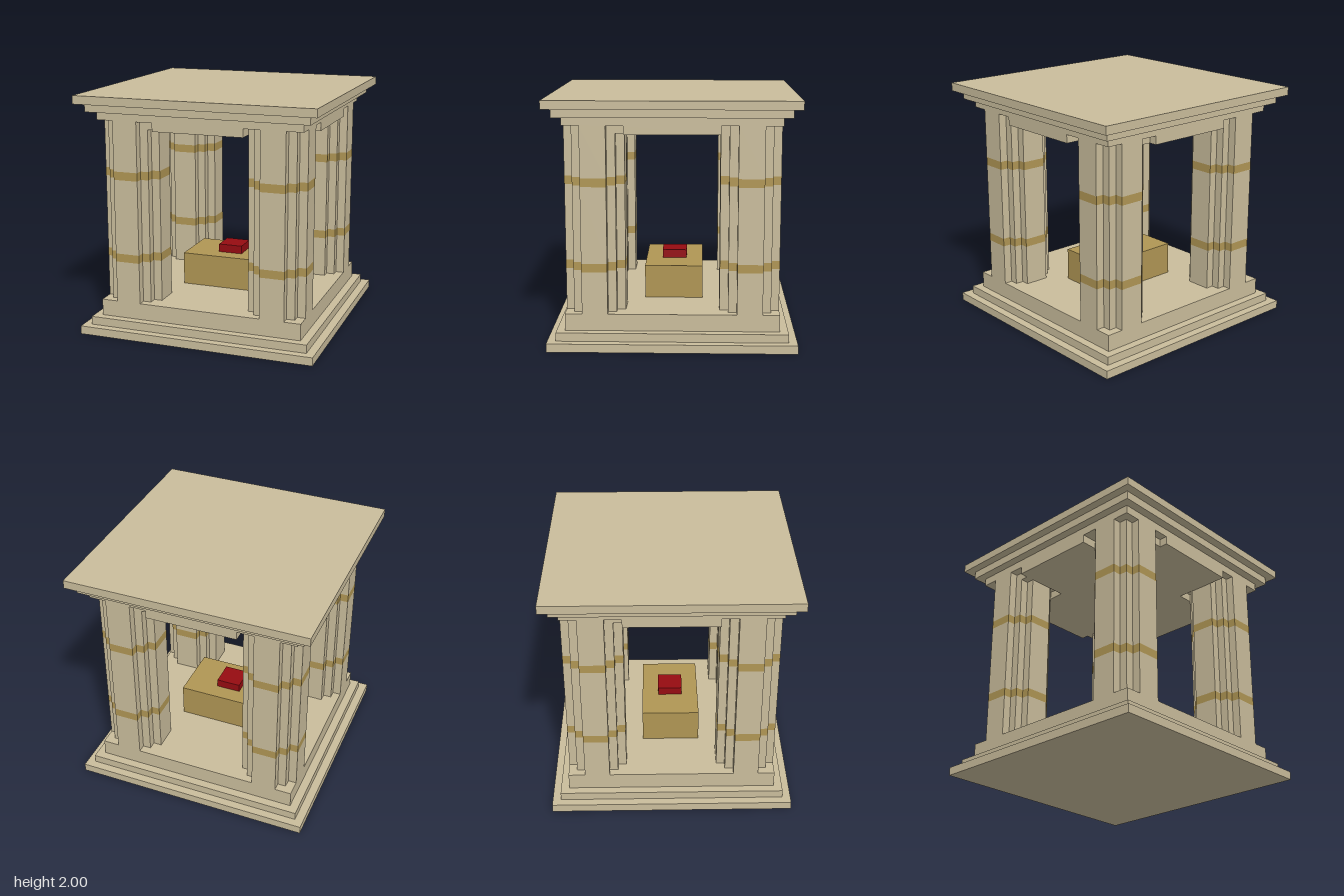
import * as THREE from 'three';

const U = 2 / 29; // one grid cell

export function createModel() {
  const group = new THREE.Group();
  const stone = new THREE.MeshStandardMaterial({ name: 'sandstone', color: 0xcabd9c });
  const gold = new THREE.MeshStandardMaterial({ name: 'ochre', color: 0xb09654 });
  const red = new THREE.MeshStandardMaterial({ name: 'darkRed', color: 0x960b11 });

  // Box centred on (x, z), from cell height y0 to y1
  function box(name, mat, w, d, y0, y1, x = 0, z = 0, parent = group) {
    const mesh = new THREE.Mesh(new THREE.BoxGeometry(w * U, (y1 - y0) * U, d * U), mat);
    mesh.position.set(x * U, (y0 + y1) / 2 * U, z * U);
    mesh.name = name;
    parent.add(mesh);
  }

  // Upright prism whose plan repeats one quarter outline four times
  function prism(name, mat, quarter, y0, y1, parent = group) {
    const pts = [];
    for (let k = 0; k < 4; k++) {
      for (const [x, y] of quarter) {
        pts.push(new THREE.Vector2(x * U, y * U).rotateAround(new THREE.Vector2(), k * Math.PI / 2));
      }
    }
    const geo = new THREE.ExtrudeGeometry(new THREE.Shape(pts), { depth: (y1 - y0) * U, bevelEnabled: false });
    geo.rotateX(-Math.PI / 2);
    const mesh = new THREE.Mesh(geo, mat);
    mesh.position.y = y0 * U;
    mesh.name = name;
    parent.add(mesh);
  }

  // Stepped base and mirrored stepped roof
  box('baseSlab', stone, 29, 29, 0, 1);
  box('baseStep', stone, 27, 27, 1, 2);
  box('floor', stone, 25, 25, 2, 4);
  box('roofLowerStep', stone, 25, 25, 26, 27);
  box('roofStep', stone, 27, 27, 27, 28);
  box('roofSlab', stone, 29, 29, 28, 29);

  // Cross-shaped ceiling between the pillars
  prism('ceiling', stone, [[12.5, -5.5], [12.5, 5.5], [5.5, 5.5]], 25, 26);

  // Small corbel on one end of each lintel
  for (const [x, z] of [[-6, 11], [11, 6], [6, -11], [-11, -6]]) {
    box('corbel', stone, 1, 1, 25, 26, x, z);
  }

  // Four stepped-round pillars with two coloured bands each
  const round = [[3.5, -1.5], [3.5, 1.5], [2.5, 1.5], [2.5, 2.5], [1.5, 2.5]];
  const sections = [[4, 9], [9, 10], [10, 19], [19, 20], [20, 26]];
  for (const sx of [-1, 1]) {
    for (const sz of [-1, 1]) {
      const pillar = new THREE.Group();
      pillar.name = 'pillar';
      pillar.position.set(sx * 9 * U, 0, sz * 9 * U);
      sections.forEach(([a, b], i) => {
        const band = i % 2 === 1;
        prism(band ? 'pillarBand' : 'pillarShaft', band ? gold : stone, round, a, b, pillar);
      });
      group.add(pillar);
    }
  }

  // Altar with a small block on top
  box('altar', gold, 11, 7, 4, 8);
  box('altarCushion', red, 3, 3, 8, 9);

  return group;
}
